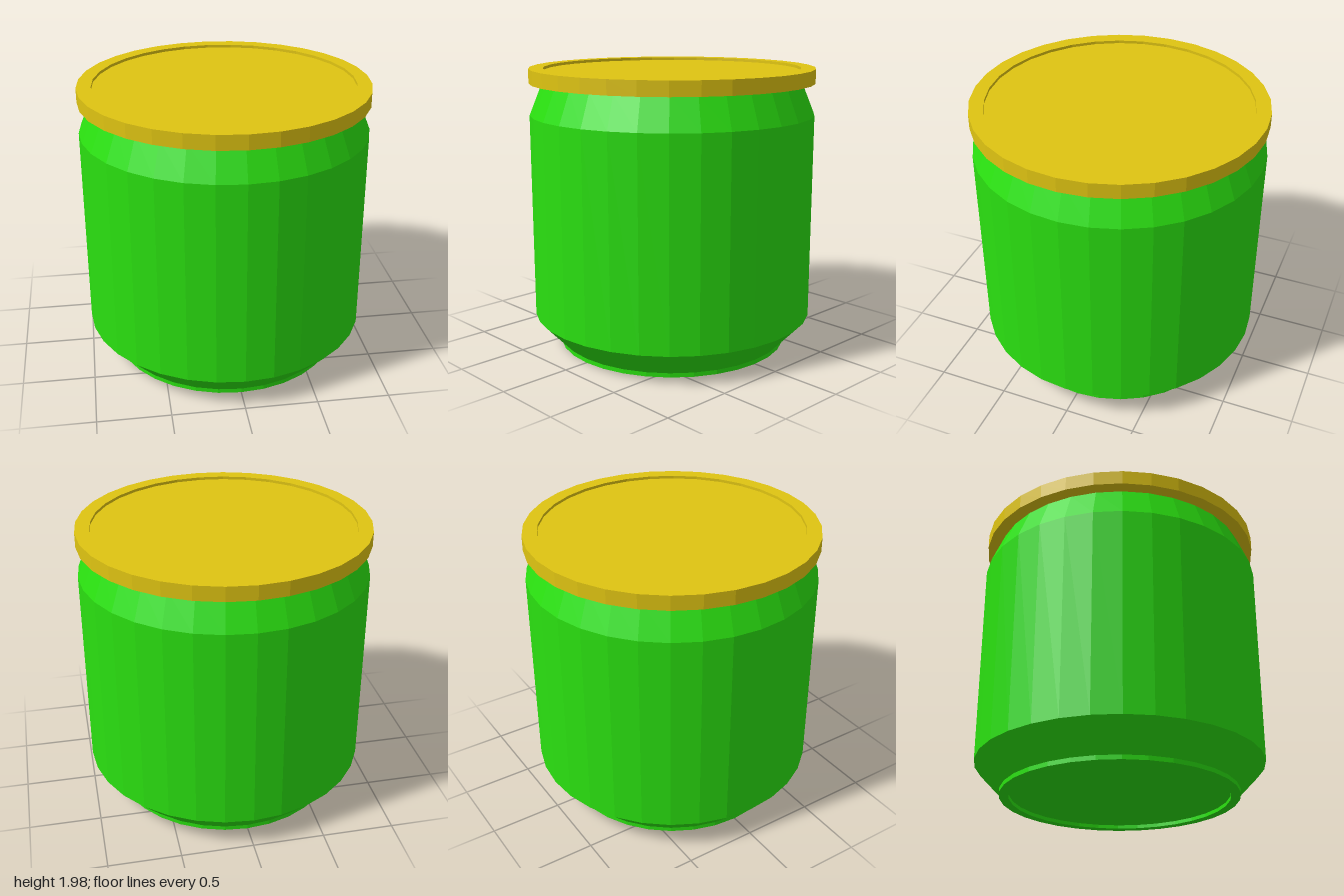
import * as THREE from 'three';

const SIDES = 32;

// Faceted solid of revolution; profile runs from the bottom centre outward and up.
function turned(name, profile, color) {
  const points = profile.map(([r, y]) => new THREE.Vector2(r, y));
  const material = new THREE.MeshStandardMaterial({ color, flatShading: true });
  const mesh = new THREE.Mesh(new THREE.LatheGeometry(points, SIDES), material);
  mesh.name = name;
  return mesh;
}

export function createModel() {
  const group = new THREE.Group();
  group.name = 'jar';

  // Jar body: recessed base, foot ring, lower bevel, straight wall, sloped shoulder
  group.add(turned('body', [
    [0, 0.025], [0.755, 0.025], [0.755, 0], [0.82, 0], [0.82, 0.03],
    [1, 0.22], [1, 1.66], [0.91, 1.88],
  ], 0x2ae010));

  // Lid: flat disc with a raised rim around a shallow recess
  group.add(turned('lid', [
    [0, 1.88], [1, 1.88], [1, 1.98], [0.9, 1.98], [0.9, 1.96], [0, 1.96],
  ], 0xdfc412));

  return group;
}
